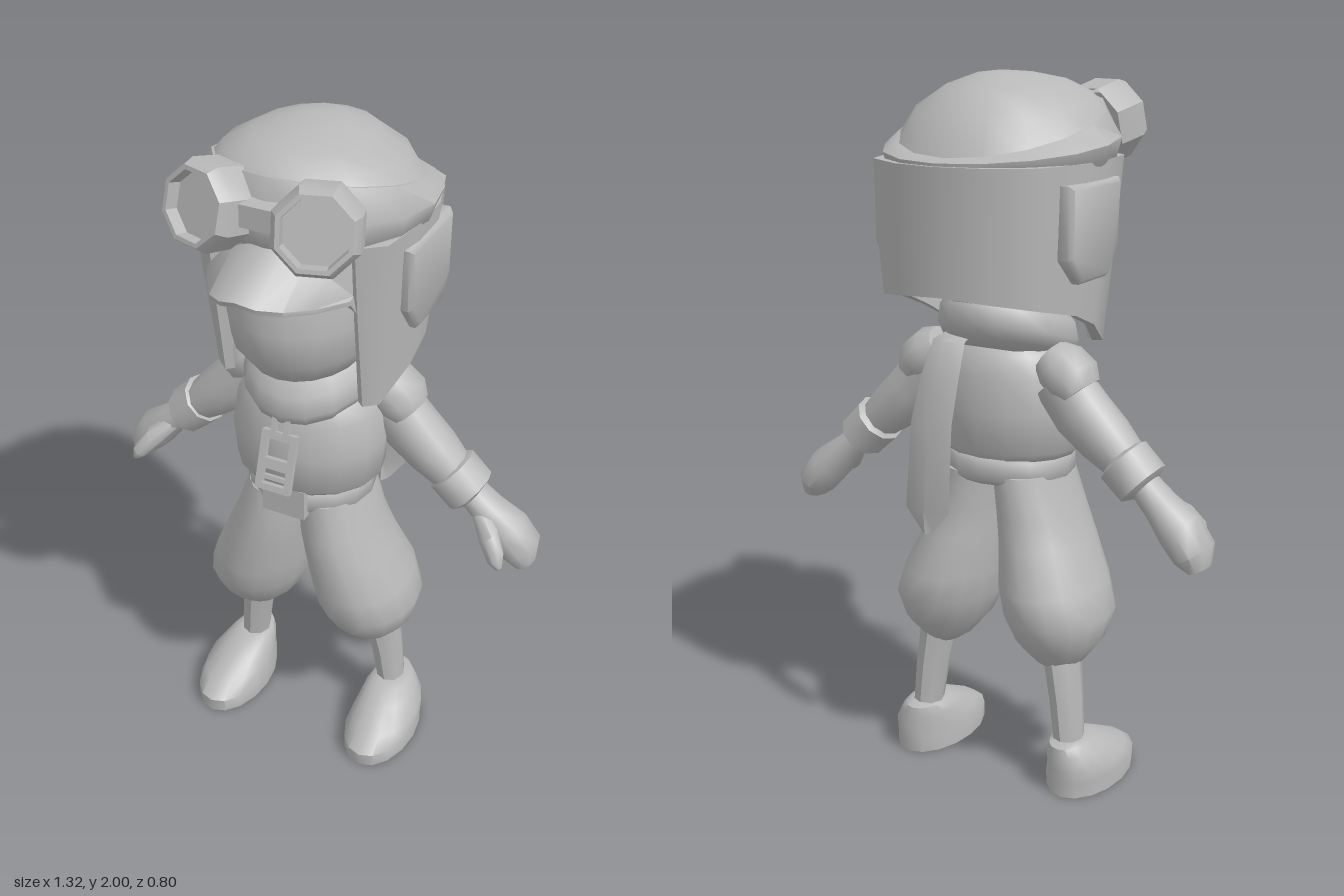
import * as THREE from 'three';
import { toCreasedNormals } from 'three/addons/utils/BufferGeometryUtils.js';

const V = (x, y, z) => new THREE.Vector3(x, y, z);
const gray = new THREE.MeshStandardMaterial({ color: 0xb8b8b8 });
gray.name = 'plain gray';

function flip(geo) {
  const a = geo.index.array;
  for (let i = 0; i < a.length; i += 3) [a[i + 1], a[i + 2]] = [a[i + 2], a[i + 1]];
  return geo;
}

// Skin a series of closed loops, cap both ends, and turn the faces outward
function loft(rings) {
  const n = rings[0].length, pts = rings.flat(), idx = [];
  for (let r = 0; r < rings.length - 1; r++) {
    for (let i = 0; i < n; i++) {
      const a = r * n + i, b = r * n + (i + 1) % n;
      idx.push(a, b, a + n, b, b + n, a + n);
    }
  }
  [0, rings.length - 1].forEach((r, end) => {
    const mid = V(0, 0, 0);
    rings[r].forEach(p => mid.addScaledVector(p, 1 / n));
    const c = pts.push(mid) - 1;
    for (let i = 0; i < n; i++) {
      const a = r * n + i, b = r * n + (i + 1) % n;
      if (end) idx.push(c, a, b); else idx.push(c, b, a);
    }
  });
  let volume = 0;
  for (let i = 0; i < idx.length; i += 3) {
    volume += pts[idx[i]].dot(V(0, 0, 0).crossVectors(pts[idx[i + 1]], pts[idx[i + 2]]));
  }
  const geo = new THREE.BufferGeometry().setFromPoints(pts);
  geo.setIndex(idx);
  return volume < 0 ? flip(geo) : geo;
}

// Stacked level ellipses: [y, x0, x1, zBack, zFront, slope toward the front]
const stack = (rows, n = 16) => loft(rows.map(([y, x0, x1, z0, z1, slope = 0]) =>
  Array.from({ length: n }, (_, i) => {
    const a = i / n * Math.PI * 2, dz = Math.cos(a) * (z1 - z0) / 2;
    return V((x0 + x1) / 2 + Math.sin(a) * (x1 - x0) / 2, y + slope * dz, (z0 + z1) / 2 + dz);
  })));

// Limb along a path: [x, y, z, radius in the front plane, radius in depth]
const limb = (rows, n = 10) => loft(rows.map(([x, y, z, r, rz], k) => {
  const p = rows[Math.max(k - 1, 0)], q = rows[Math.min(k + 1, rows.length - 1)];
  const d = V(q[0] - p[0], q[1] - p[1], 0).normalize();
  return Array.from({ length: n }, (_, i) => {
    const a = i / n * Math.PI * 2, c = Math.cos(a) * r;
    return V(x - d.y * c, y + d.x * c, z + Math.sin(a) * rz);
  });
}));

export function createModel() {
  const model = new THREE.Group();
  model.name = 'pilot';

  const add = (name, geo, crease = 0.9) => {
    const mesh = new THREE.Mesh(toCreasedNormals(geo, crease), gray);
    mesh.name = name;
    model.add(mesh);
    return mesh;
  };
  const pair = (name, geo, crease) => {
    add(name + 'Left', geo.clone(), crease);
    const other = geo.clone().scale(-1, 1, 1);
    if (!other.index) other.setIndex([...Array(other.attributes.position.count).keys()]);
    add(name + 'Right', flip(other), crease);
  };
  const sym = (y, x, z0, z1, slope) => [y, -x, x, z0, z1, slope];

  // Face and head
  add('head', stack([
    sym(1.32, 0.08, -0.14, 0.13), sym(1.36, 0.15, -0.2, 0.19), sym(1.43, 0.195, -0.25, 0.245),
    sym(1.53, 0.21, -0.28, 0.26), sym(1.63, 0.21, -0.3, 0.235), sym(1.78, 0.2, -0.3, 0.2)], 20));

  // Cap: bulging band and dome
  add('capBand', stack([
    sym(1.745, 0.27, -0.35, 0.22), sym(1.77, 0.3, -0.385, 0.255, 0.03), sym(1.82, 0.315, -0.39, 0.265, 0.1),
    sym(1.87, 0.275, -0.355, 0.22, 0.26)]));
  add('capDome', stack([
    sym(1.86, 0.275, -0.355, 0.22, 0.26), sym(1.92, 0.235, -0.3, 0.2, 0.13),
    sym(1.968, 0.155, -0.22, 0.14, 0.06), sym(1.994, 0.07, -0.13, 0.04), sym(2, 0.01, -0.07, -0.05)]));

  // Neck and ear skirt of the cap: [top x, top z, bottom x, bottom y, bottom z]
  const half = [
    [0.205, 0.17, 0.205, 1.28, 0.1], [0.27, 0.12, 0.24, 1.28, 0.07], [0.295, -0.02, 0.275, 1.35, -0.05],
    [0.295, -0.15, 0.275, 1.39, -0.15], [0.25, -0.3, 0.24, 1.42, -0.28], [0.13, -0.375, 0.13, 1.44, -0.36],
    [0, -0.4, 0, 1.45, -0.385]];
  const columns = [...half, ...half.slice(0, -1).reverse().map(([a, b, c, d, e]) => [-a, b, -c, d, e])];
  add('capSkirt', loft(columns.map(([tx, tz, bx, by, bz]) => {
    const mid = V(tx * 0.65 + bx * 0.35, 1.58, tz * 0.65 + bz * 0.35);
    const outer = [V(tx, 1.78, tz), mid, V(bx, by, bz)];
    const inner = outer.map(p => V(p.x * 0.9, p.y, -0.08 + (p.z + 0.08) * 0.9)).reverse();
    return [...outer, ...inner];
  })));

  // Ear pads
  const pad = new THREE.Shape([[0.22, 1.72], [0.22, 1.55], [0.17, 1.49], [0.03, 1.49], [-0.02, 1.56], [-0.03, 1.72]]
    .map(p => new THREE.Vector2(...p)));
  pair('earPad', new THREE.ExtrudeGeometry(pad, {
    depth: 0.03, bevelSize: 0.012, bevelThickness: 0.012, bevelSegments: 1 })
    .rotateY(Math.PI / 2).translate(0.263, 0, 0));

  // Peak over the face
  const peak = [];
  for (let t = -1; t <= 1.01; t += 0.25) {
    const k = t * t, yIn = 1.775 - 0.13 * k, yOut = 1.7 - 0.06 * Math.abs(t);
    const zIn = 0.24 - 0.08 * k, zOut = 0.4 - 0.22 * k;
    peak.push([V(t * 0.2, yIn, zIn), V(t * 0.2, yOut, zOut),
      V(t * 0.2, yOut - 0.015, zOut - 0.005), V(t * 0.2, yIn - 0.06, zIn - 0.02)]);
  }
  add('capPeak', loft(peak));

  // Goggles: eight-sided frames with recessed lenses
  const place = g => g.rotateX(-0.25).rotateY(0.3).translate(0.148, 1.858, 0.255);
  const profile = [[0.085, 0.015], [0.088, 0.055], [0.1, 0.055], [0.116, 0.025], [0.114, -0.06]]
    .map(p => new THREE.Vector2(...p)).reverse();
  const turn = g => g.rotateY(Math.PI / 8).rotateX(Math.PI / 2);
  pair('goggleFrame', place(turn(new THREE.LatheGeometry(profile, 8))), 0.5);
  pair('goggleLens', place(turn(new THREE.CylinderGeometry(0.088, 0.088, 0.04, 8))), 0.5);
  add('goggleBridge', new THREE.BoxGeometry(0.09, 0.06, 0.05).translate(0, 1.865, 0.26));

  // Scarf: neck roll and hanging tail
  add('scarfRoll', stack([
    sym(1.24, 0.13, -0.18, 0.12, -0.28), sym(1.265, 0.175, -0.23, 0.17, -0.28), sym(1.3, 0.19, -0.245, 0.185, -0.28),
    sym(1.35, 0.18, -0.24, 0.175, -0.28), sym(1.4, 0.14, -0.2, 0.13, -0.28)]));
  const tail = [[0.06, 1.32, -0.17, 0.04], [0.07, 1.3, -0.225, 0.05], [0.08, 1.2, -0.26, 0.06],
    [0.095, 1.08, -0.28, 0.065], [0.11, 0.83, -0.285, 0.07], [0.115, 0.76, -0.275, 0.015]];
  add('scarfTail', loft(tail.map(([x, y, z, w]) =>
    [V(x - w, y, z), V(x, y, z - 0.018), V(x + w, y, z), V(x, y, z + 0.018)])));

  // Jacket, belt and buckle
  add('jacket', stack([
    sym(0.965, 0.19, -0.18, 0.15), sym(0.99, 0.215, -0.2, 0.175), sym(1.1, 0.225, -0.205, 0.18),
    sym(1.2, 0.21, -0.2, 0.165), sym(1.26, 0.175, -0.18, 0.14), sym(1.3, 0.12, -0.14, 0.1)]));
  add('belt', stack([
    sym(0.895, 0.175, -0.18, 0.14), sym(0.91, 0.187, -0.195, 0.155),
    sym(0.96, 0.187, -0.195, 0.155), sym(0.975, 0.175, -0.18, 0.14)]));
  add('buckle', new THREE.BoxGeometry(0.13, 0.095, 0.03).translate(0, 0.94, 0.15));

  // Hanging zip tag: frame, bars and link
  const rect = (w, h, y = 0, S = THREE.Shape) => new S([V(-w, y - h, 0), V(w, y - h, 0), V(w, y + h, 0), V(-w, y + h, 0)]);
  const frame = rect(0.052, 0.085);
  frame.holes.push(rect(0.034, 0.022, -0.045, THREE.Path), rect(0.034, 0.03, 0.037, THREE.Path));
  const hang = (g, y, z) => g.rotateX(-0.32).translate(0, y, z);
  add('zipTag', hang(new THREE.ExtrudeGeometry(frame, { depth: 0.02, bevelEnabled: false }), 1.095, 0.188));
  add('zipTagBar', hang(new THREE.BoxGeometry(0.065, 0.012, 0.015), 1.05, 0.21));
  const link = rect(0.026, 0.04);
  link.holes.push(rect(0.012, 0.024, 0, THREE.Path));
  add('zipLink', hang(new THREE.ExtrudeGeometry(link, { depth: 0.018, bevelEnabled: false }), 1.195, 0.16));

  // Arms, cuffs and mittens
  const z = -0.095;
  pair('shoulder', limb([[0.17, 1.26, z, 0.05, 0.07], [0.2, 1.24, z, 0.068, 0.088],
    [0.24, 1.205, z, 0.072, 0.09], [0.265, 1.175, z, 0.05, 0.075]]));
  pair('sleeve', limb([[0.2, 1.2, z, 0.08, 0.07], [0.27, 1.115, z, 0.085, 0.075],
    [0.34, 1.055, z, 0.075, 0.078], [0.42, 0.985, z, 0.055, 0.065]]));
  pair('cuff', limb([[0.385, 1.015, -0.1, 0.05, 0.06], [0.395, 1.007, -0.1, 0.075, 0.082],
    [0.455, 0.95, -0.1, 0.072, 0.085], [0.465, 0.942, -0.1, 0.045, 0.06]]));
  pair('mitten', limb([[0.44, 0.965, -0.1, 0.038, 0.05], [0.51, 0.9, -0.105, 0.045, 0.06],
    [0.57, 0.845, -0.11, 0.06, 0.075], [0.615, 0.79, -0.115, 0.055, 0.075], [0.63, 0.75, -0.115, 0.03, 0.05]]));
  pair('thumb', limb([[0.49, 0.91, -0.08, 0.025, 0.03], [0.54, 0.865, -0.035, 0.032, 0.035],
    [0.575, 0.82, -0.005, 0.026, 0.03], [0.59, 0.795, 0.005, 0.01, 0.012]], 8));

  // Baggy trousers
  pair('trouserLeg', stack([
    [0.92, -0.02, 0.175, -0.18, 0.135], [0.8, -0.01, 0.215, -0.185, 0.15], [0.72, 0, 0.25, -0.2, 0.152],
    [0.6, 0.015, 0.305, -0.24, 0.15], [0.52, 0.03, 0.332, -0.24, 0.14], [0.44, 0.065, 0.31, -0.205, 0.09],
    [0.38, 0.115, 0.265, -0.15, 0.03], [0.355, 0.15, 0.24, -0.12, -0.01]]));

  // Shins and shoes
  pair('shin', stack([[0.4, 0.155, 0.26, -0.15, -0.015], [0.27, 0.18, 0.275, -0.15, -0.035],
    [0.13, 0.2, 0.285, -0.15, -0.05]], 8));
  pair('shoe', stack([
    [0, 0.155, 0.365, -0.185, 0.18], [0.045, 0.155, 0.365, -0.187, 0.183], [0.08, 0.165, 0.36, -0.187, 0.13],
    [0.12, 0.175, 0.33, -0.185, 0.05], [0.145, 0.19, 0.305, -0.18, -0.005], [0.152, 0.21, 0.285, -0.15, -0.04]]));

  return model;
}
